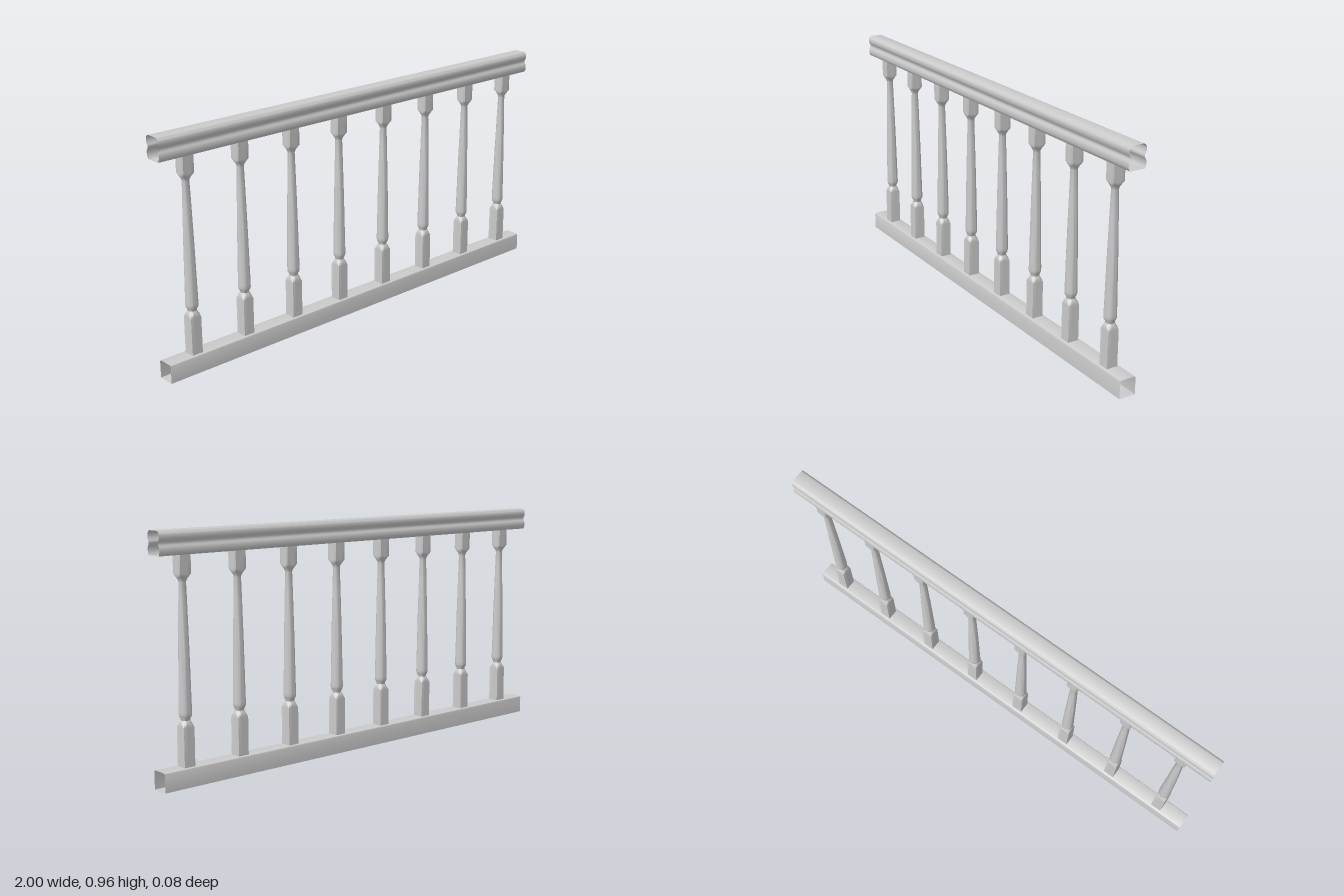
import * as THREE from 'three';
import { toCreasedNormals } from 'three/addons/utils/BufferGeometryUtils.js';

const LENGTH = 2;
const material = new THREE.MeshStandardMaterial({ color: 0xcccccc, side: THREE.DoubleSide });

// Hollow, open-ended rail: a plane wrapped round a mirrored profile.
// half: [z, y] points of the front half, from the top down.
function makeRail(name, half) {
  const back = half.map(([z, y]) => [-z, y]).reverse();
  const loop = [...half, ...back, half[0]];
  const geometry = new THREE.PlaneGeometry(LENGTH, 1, 1, loop.length - 1);
  const p = geometry.attributes.position;
  for (let i = 0; i < p.count; i++) {
    const [z, y] = loop[Math.floor(i / 2)];
    p.setXYZ(i, p.getX(i), y, z);
  }
  const mesh = new THREE.Mesh(toCreasedNormals(geometry, 0.7), material);
  mesh.name = name;
  return mesh;
}

// Turned baluster: a lathed shaft whose two ends are cut down to square blocks.
function balusterGeometry() {
  const h = 0.0235, corner = h * Math.SQRT2;
  const profile = [
    [corner, 0.065], [corner, 0.226], [0.028, 0.235], [0.022, 0.244],
    [0.0175, 0.252], [0.019, 0.259], [0.0235, 0.267], [0.025, 0.274], [0.025, 0.285],
    [0.0235, 0.36], [0.0205, 0.52], [0.0165, 0.68], [0.014, 0.768],
    [0.0155, 0.775], [0.02, 0.783], [0.026, 0.791], [corner, 0.8], [corner, 0.872],
  ].map(([r, y]) => new THREE.Vector2(r, y));
  const geometry = new THREE.LatheGeometry(profile, 24);
  const p = geometry.attributes.position;
  for (let i = 0; i < p.count; i++) {
    const y = p.getY(i);
    if (y > 0.25 && y < 0.77) continue;
    p.setX(i, THREE.MathUtils.clamp(p.getX(i), -h, h));
    p.setZ(i, THREE.MathUtils.clamp(p.getZ(i), -h, h));
  }
  return toCreasedNormals(geometry, 0.6);
}

export function createModel() {
  const group = new THREE.Group();
  group.name = 'railing';

  // Bottom rail with softened top edges
  group.add(makeRail('bottomRail', [
    [0.028, 0.075], [0.033, 0.073], [0.035, 0.068], [0.035, 0],
  ]));

  // Handrail with a rounded top and a groove along each side
  group.add(makeRail('topRail', [
    [0.024, 0.962], [0.031, 0.959], [0.036, 0.952], [0.0375, 0.945],
    [0.0375, 0.936], [0.035, 0.929], [0.031, 0.923], [0.0295, 0.917],
    [0.031, 0.911], [0.035, 0.905], [0.0375, 0.898], [0.0375, 0.885],
    [0.035, 0.876], [0.031, 0.871],
  ]));

  // Row of balusters
  const geometry = balusterGeometry();
  for (let i = 0; i < 8; i++) {
    const baluster = new THREE.Mesh(geometry, material);
    baluster.name = `baluster${i + 1}`;
    baluster.position.x = -0.867 + i * 0.2497;
    group.add(baluster);
  }
  return group;
}
